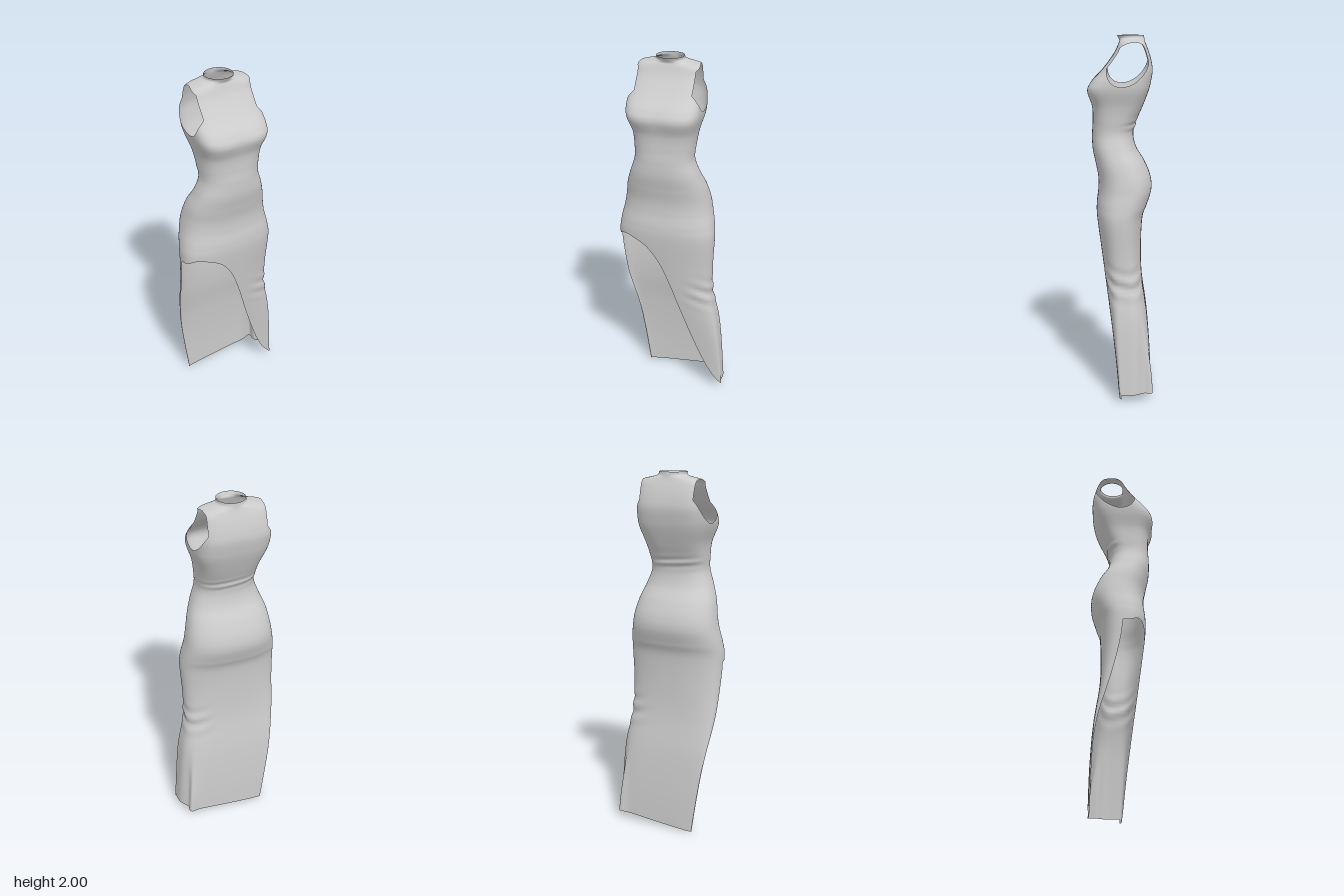
import * as THREE from 'three';
import { mergeVertices } from 'three/addons/utils/BufferGeometryUtils.js';

const { lerp, smoothstep, clamp } = THREE.MathUtils;

// Horizontal sections, hem to collar: y, right x, left x, front z, back z
const SECTIONS = [
  [-0.06, -0.188, 0.31, 0.01, -0.168],
  [0.2, -0.225, 0.292, 0.032, -0.162],
  [0.44, -0.26, 0.27, 0.062, -0.145],
  [0.65, -0.29, 0.233, 0.092, -0.116],
  [0.82, -0.3, 0.232, 0.115, -0.109],
  [1.0, -0.306, 0.241, 0.138, -0.117],
  [1.08, -0.298, 0.234, 0.14, -0.143],
  [1.16, -0.281, 0.218, 0.131, -0.166],
  [1.23, -0.268, 0.206, 0.131, -0.16],
  [1.31, -0.252, 0.187, 0.146, -0.127],
  [1.39, -0.222, 0.158, 0.162, -0.08],
  [1.47, -0.195, 0.131, 0.164, -0.064],
  [1.54, -0.195, 0.132, 0.16, -0.082],
  [1.62, -0.202, 0.141, 0.163, -0.115],
  [1.7, -0.227, 0.163, 0.188, -0.145],
  [1.75, -0.236, 0.167, 0.168, -0.158],
  [1.81, -0.235, 0.162, 0.112, -0.167],
  [1.86, -0.227, 0.154, 0.072, -0.161],
  [1.91, -0.216, 0.146, 0.038, -0.147],
  [1.955, -0.2, 0.136, 0.018, -0.129],
  [1.97, -0.148, 0.085, 0.013, -0.124],
  [1.981, -0.111, 0.05, 0.018, -0.122],
  [1.998, -0.107, 0.045, 0.027, -0.12],
];

// Slit edge seen from the front: x, y
const SLIT = [[-0.32, 0.97], [-0.26, 1.005], [-0.2, 0.996], [-0.12, 0.955], [-0.053, 0.865],
  [0, 0.735], [0.063, 0.545], [0.127, 0.36], [0.196, 0.19], [0.25, 0.09], [0.31, 0.025]];

// Catmull-Rom value of one column of a key table at a fractional row
function sample(keys, t, c) {
  const i = clamp(Math.floor(t), 0, keys.length - 2);
  const f = t - i;
  const at = (k) => keys[clamp(k, 0, keys.length - 1)][c];
  const a = at(i - 1), b = at(i), d = at(i + 1), e = at(i + 2);
  return b + 0.5 * f * (d - a + f * (2 * a - 5 * b + 4 * d - e + f * (3 * (b - d) + e - a)));
}

const bump = (v, centre, width) => Math.exp(-(((v - centre) / width) ** 2));
const power = (v, e) => Math.sign(v) * Math.abs(v) ** e;

// Point on the garment: angle runs from the left side over the front
function surface(angle, t) {
  const [y, x0, x1, front, back] = [0, 1, 2, 3, 4].map((c) => sample(SECTIONS, t, c));
  // Squarer at the hem and the chest, round at hips and neck
  const n = 2.4 + 2.1 * (1 - smoothstep(y, 0.1, 0.9)) + 1.4 * smoothstep(y, 1.45, 1.75) - 1.8 * smoothstep(y, 1.93, 1.985);
  const c = power(Math.cos(angle), 2 / n), s = power(Math.sin(angle), 2 / n);
  // Below the hips the right side edge swings to the back
  const closed = smoothstep(y, 0.3, 1), middle = (front + back) / 2;
  const side = lerp(lerp(back + 0.015, middle, closed), lerp(0, middle, closed), (c + 1) / 2);
  let x = (x0 + x1) / 2 + c * (x1 - x0) / 2;
  let z = side + s * (s > 0 ? front - side : side - back);
  // Hanging fold at the left of the hem
  const low = 1 - smoothstep(y, 0.1, 0.65);
  const left = smoothstep(x, 0.05, 0.22);
  x -= 0.032 * low * left * bump(z, -0.105, 0.03);
  if (s < 0) z += 0.035 * s * low * bump(x, 0.275, 0.045);
  // Gathers at the left knee and the back of the waist
  const knee = 0.005 * left * bump(y, 0.66, 0.08) * Math.sin(75 * y + 28 * x - 20 * z);
  x += knee * c;
  z += knee * s;
  if (s < 0) z += 0.004 * s * bump(y, 1.52, 0.03) * Math.sin(130 * y + 12 * x);
  // Hollow between the breasts
  if (s > 0) z -= 0.004 * s * bump(y, 1.71, 0.06) * bump(x, -0.035, 0.045);
  return new THREE.Vector3(x, y, z);
}

function vertex(angle, t) {
  const h = 0.004;
  const up = surface(angle, t + h).sub(surface(angle, t - h));
  const around = surface(angle + h, t).sub(surface(angle - h, t));
  return { p: surface(angle, t), n: up.cross(around).normalize() };
}

// Cutting rules: positive where cloth remains
function slit({ x, y }) {
  let i = 0;
  while (i < SLIT.length - 2 && x > SLIT[i + 1][0]) i++;
  const f = clamp((x - SLIT[i][0]) / (SLIT[i + 1][0] - SLIT[i][0]), 0, 1);
  return y - sample(SLIT, i + f, 1);
}
const hem = ({ x, y }) => y - 0.003 - 0.095 * (x + 0.19);
// A tilted oval seen from the side, kept clear of the chest and shoulder straps
function armhole({ x, y, z }) {
  const dz = z + 0.033, dy = y - 1.845;
  const oval = (0.0132 * dz * dz + 0.008 * dz * dy + 0.0128 * dy * dy) / 0.000153 - 1;
  return Math.max(oval, 15 * (0.157 - Math.abs(x + 0.034)));
}

// Trim a polygon along the zero line of a rule
function clip(poly, rule) {
  const out = [];
  poly.forEach((a, i) => {
    const b = poly[(i + 1) % poly.length];
    const fa = rule(a.p), fb = rule(b.p);
    if (fa >= 0) out.push(a);
    if ((fa >= 0) !== (fb >= 0)) {
      const k = fa / (fa - fb);
      out.push({ p: a.p.clone().lerp(b.p, k), n: a.n.clone().lerp(b.n, k).normalize() });
    }
  });
  return out;
}

// Half of the garment, from one side seam to the other
function panel(name, startAngle, rules, material) {
  const cols = 80, steps = 10, rows = (SECTIONS.length - 1) * steps;
  const grid = [];
  for (let r = 0; r <= rows; r++) {
    grid.push([]);
    for (let c = 0; c <= cols; c++) grid[r].push(vertex(startAngle + (Math.PI * c) / cols, r / steps));
  }
  const positions = [], normals = [];
  for (let r = 0; r < rows; r++) {
    for (let c = 0; c < cols; c++) {
      const a = grid[r][c], b = grid[r + 1][c], d = grid[r + 1][c + 1], e = grid[r][c + 1];
      for (const tri of [[a, b, e], [b, d, e]]) {
        const poly = rules.reduce(clip, tri);
        for (let i = 1; i < poly.length - 1; i++) {
          for (const v of [poly[0], poly[i], poly[i + 1]]) {
            positions.push(...v.p.toArray());
            normals.push(...v.n.toArray());
          }
        }
      }
    }
  }
  const geometry = new THREE.BufferGeometry();
  geometry.setAttribute('position', new THREE.Float32BufferAttribute(positions, 3));
  geometry.setAttribute('normal', new THREE.Float32BufferAttribute(normals, 3));
  const mesh = new THREE.Mesh(mergeVertices(geometry, 1e-5), material);
  mesh.name = name;
  return mesh;
}

export function createModel() {
  const cloth = new THREE.MeshStandardMaterial({ color: 0xcccccc, side: THREE.DoubleSide });
  const dress = new THREE.Group();
  dress.name = 'dress';
  dress.add(panel('frontPanel', 0, [slit, armhole], cloth));
  dress.add(panel('backPanel', Math.PI, [hem, armhole], cloth));
  return dress;
}
